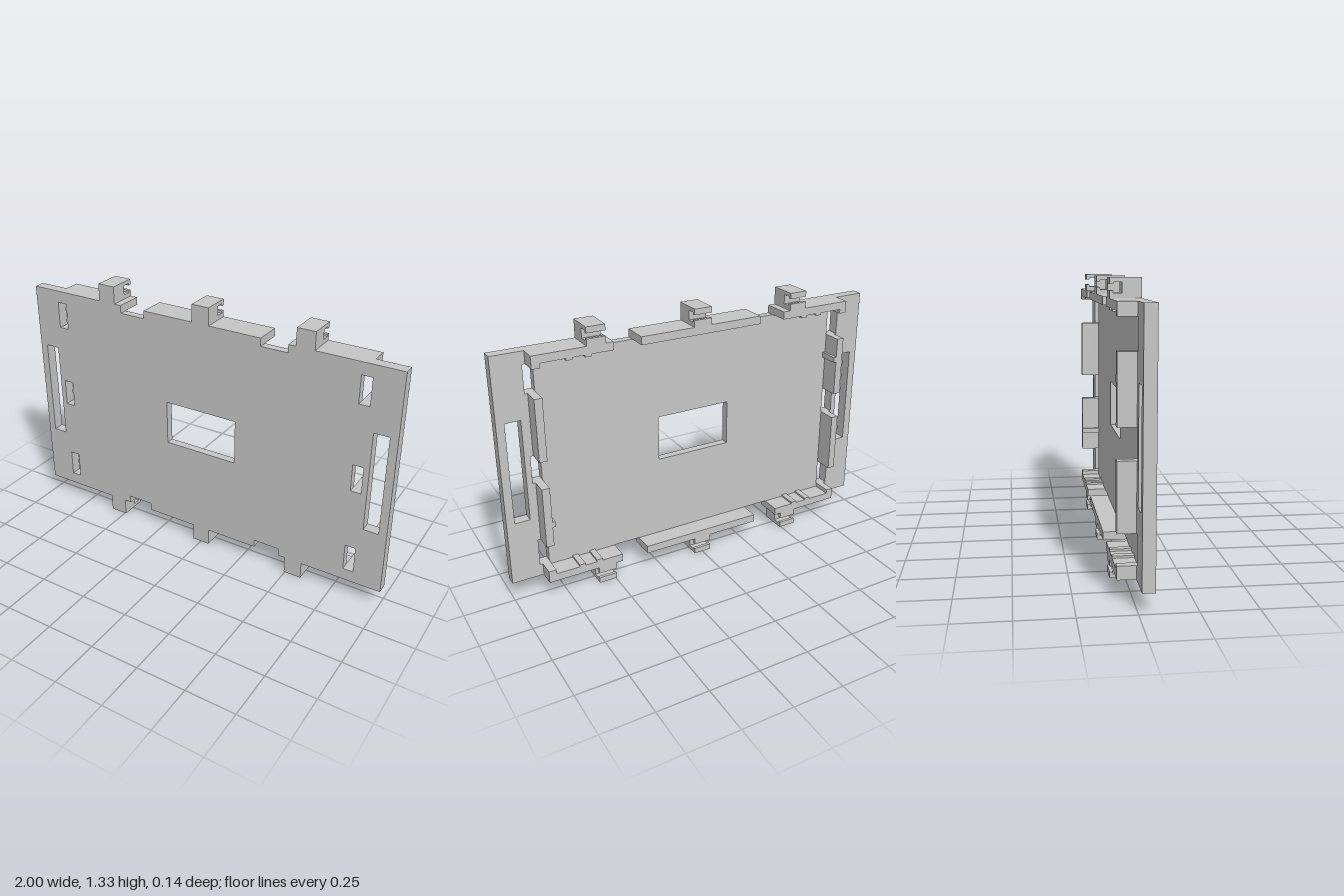
import * as THREE from 'three';

export function createModel() {
  const model = new THREE.Group();
  model.name = 'mountingPlate';
  const body = new THREE.Group();
  body.name = 'body';
  body.position.y = 0.663; // parts are laid out around the plate centre
  model.add(body);

  const grey = new THREE.MeshStandardMaterial({ color: 0xc6c6c6 });
  grey.name = 'grey';

  const FRONT = 0.069, BACK = -0.069, SKIN = 0.028, FLANGE = 0.013;
  const H = 0.575, TOP = 0.663, slots = [-0.445, 0, 0.445], slotHalf = 0.069;
  const SLOT_IN = 0.805, SLOT_OUT = 0.857, WALL = 0.843;

  const add = (name, geometry) => {
    const mesh = new THREE.Mesh(geometry, grey);
    mesh.name = name;
    body.add(mesh);
    return mesh;
  };
  const box = (name, x0, x1, y0, y1, z0, z1) => add(name,
    new THREE.BoxGeometry(Math.abs(x1 - x0), Math.abs(y1 - y0), z1 - z0)
      .translate((x0 + x1) / 2, (y0 + y1) / 2, (z0 + z1) / 2));
  const points = pts => pts.map(p => new THREE.Vector2(...p));
  const outline = pts => new THREE.Shape(points(pts));
  // Holes run counter-clockwise so their walls face into the opening
  const rectHole = (shape, x0, x1, y0, y1) => {
    const [a, b] = [Math.min(x0, x1), Math.max(x0, x1)];
    shape.holes.push(new THREE.Path(points([[a, y0], [b, y0], [b, y1], [a, y1]])));
  };
  const extrude = (shape, depth) => new THREE.ExtrudeGeometry(shape, { depth, bevelEnabled: false });

  // Front plate with edge notches, window and slots
  const edge = [[-1, H], [-0.457, H], [-0.457, 0.535], [-0.32, 0.535], [-0.32, H],
    [0.32, H], [0.32, 0.535], [0.457, 0.535], [0.457, H], [1, H]];
  const plate = outline([...edge, ...edge.map(([x, y]) => [-x, -y])]);
  rectHole(plate, -0.197, 0.195, -0.115, 0.115);
  for (const s of [-1, 1]) {
    rectHole(plate, s * 0.885, s * 0.96, -0.255, 0.255);
    for (const y of slots) rectHole(plate, s * SLOT_IN, s * SLOT_OUT, y - slotHalf, y + slotHalf);
  }
  add('frontPlate', extrude(plate, FRONT - SKIN).translate(0, 0, SKIN));

  // Clip profile in depth and height: a hook-lipped channel open to the back
  const clip = outline([[FRONT, H], [FRONT, TOP], [BACK, TOP], [BACK, 0.634], [-0.053, 0.634],
    [-0.053, 0.644], [-0.015, 0.644], [-0.015, 0.597], [-0.053, 0.597], [-0.053, 0.608],
    [BACK, 0.608], [BACK, H]]);
  const clipGeometry = extrude(clip, 0.092).translate(0, 0, -0.046).rotateY(-Math.PI / 2);

  for (const sx of [-1, 1]) {
    // Thicker side flange, notched where the slots pass
    const pts = [[sx, -H], [sx, H], [sx * WALL, H]];
    for (const y of [...slots].reverse()) {
      pts.push([sx * WALL, y + slotHalf], [sx * SLOT_OUT, y + slotHalf],
        [sx * SLOT_OUT, y - slotHalf], [sx * WALL, y - slotHalf]);
    }
    pts.push([sx * WALL, -H]);
    const flange = outline(pts);
    rectHole(flange, sx * 0.885, sx * 0.96, -0.255, 0.255);
    add('sideFlange', extrude(flange, SKIN - FLANGE).translate(0, 0, FLANGE));

    for (const sy of [-1, 1]) {
      // Side wall between slots, and the corner block
      box('sideWall', sx * SLOT_IN, sx * WALL, sy * slotHalf, sy * (0.445 - slotHalf), BACK, SKIN);
      box('cornerBlock', sx * SLOT_IN, sx * WALL, sy * 0.514, sy * H, BACK, SKIN);
      // Outer rail with small ridges on its inner face
      box('outerRail', sx * 0.457, sx * SLOT_IN, sy * 0.536, sy * H, BACK, SKIN);
      for (const x of [0.58, 0.67]) {
        box('railRidge', sx * (x - 0.015), sx * (x + 0.015), sy * 0.526, sy * 0.536, BACK, SKIN);
      }
    }
    // Locating tab, diagonally opposite on the two sides
    box('wallTab', sx * 0.79, sx * SLOT_IN, -sx * 0.25, -sx * 0.278, BACK, SKIN);
  }

  // Middle rails and three clips on the top and bottom edges
  for (const sy of [-1, 1]) {
    box('middleRail', -0.32, 0.32, sy * 0.535, sy * H, BACK, SKIN);
    for (const x of [-0.54, 0, 0.54]) {
      const c = add('clip', clipGeometry);
      c.position.x = x;
      if (sy < 0) c.rotation.z = Math.PI;
    }
  }
  return model;
}
